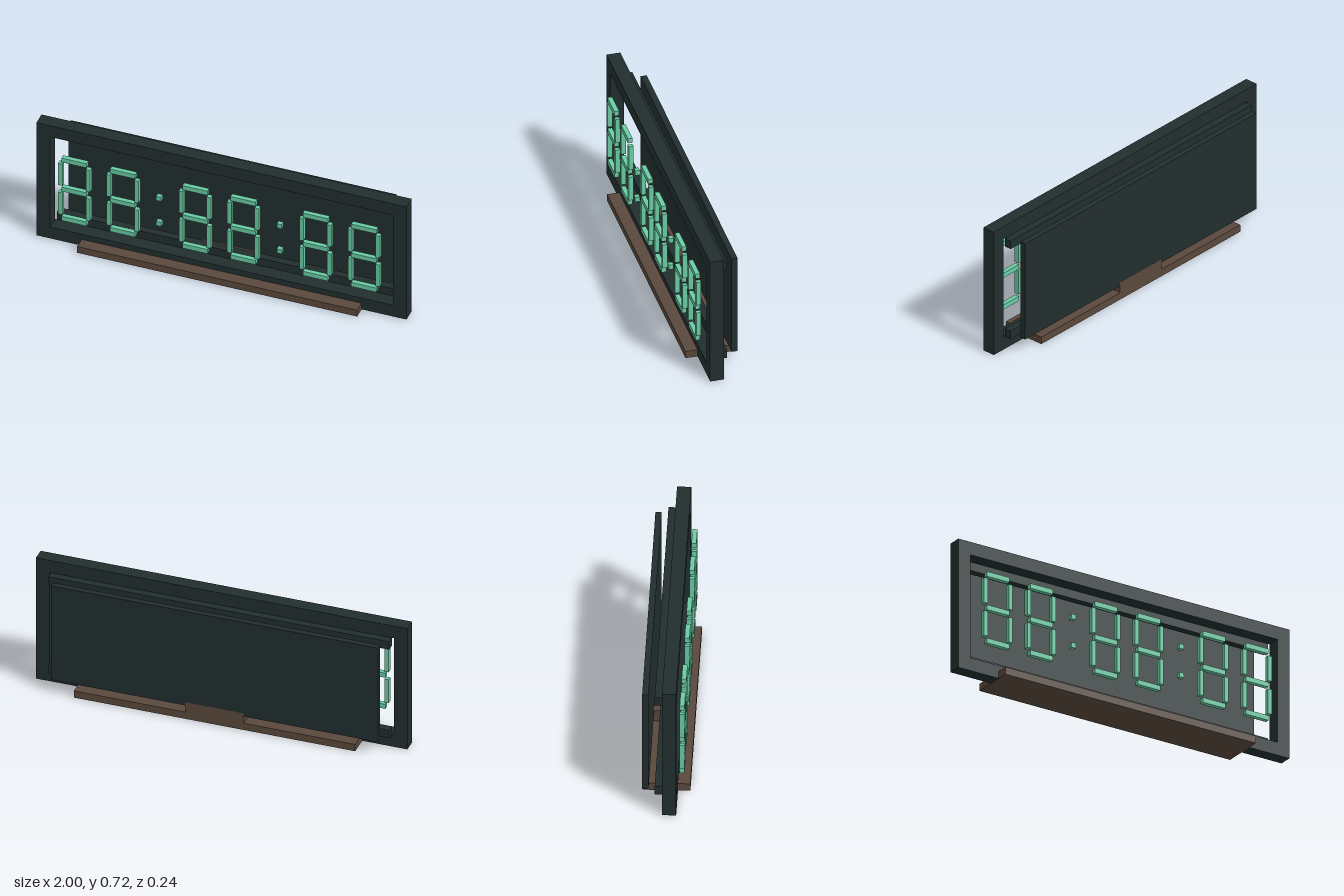
import * as THREE from 'three';

export function createModel() {
  const model = new THREE.Group();
  model.name = 'digitalClock';

  const mat = (name, color) => {
    const m = new THREE.MeshStandardMaterial({ color });
    m.name = name;
    return m;
  };
  const casing = mat('dark casing', 0x222e2e);
  const wood = mat('brown wood', 0x5a483c);
  const glow = mat('green segment', 0x69cca4);

  // Box given by its extents on each axis
  const box = (name, material, [x0, x1], [y0, y1], [z0, z1], parent = model) => {
    const mesh = new THREE.Mesh(new THREE.BoxGeometry(x1 - x0, y1 - y0, z1 - z0), material);
    mesh.position.set((x0 + x1) / 2, (y0 + y1) / 2, (z0 + z1) / 2);
    mesh.name = name;
    parent.add(mesh);
    return mesh;
  };

  // Front frame with its rectangular opening
  const rect = (path, x, y0, y1) =>
    path.moveTo(-x, y0).lineTo(x, y0).lineTo(x, y1).lineTo(-x, y1).closePath();
  const outline = rect(new THREE.Shape(), 1, 0.001, 0.72);
  outline.holes.push(rect(new THREE.Path(), 0.927, 0.073, 0.648));
  const frame = new THREE.Mesh(
    new THREE.ExtrudeGeometry(outline, { depth: 0.072, bevelEnabled: false }), casing);
  frame.position.z = -0.015;
  frame.name = 'frame';
  model.add(frame);

  // Rails behind the frame and the back panel
  box('lowerRail', casing, [-0.917, 0.917], [0.073, 0.12], [-0.055, -0.015]);
  box('upperRail', casing, [-0.917, 0.917], [0.601, 0.648], [-0.055, -0.015]);
  box('backPanel', casing, [-0.88, 0.88], [0.08, 0.64], [-0.12, -0.088]);

  // Wooden foot and the block that carries the back panel
  box('foot', wood, [-0.757, 0.757], [0, 0.04], [-0.12, 0.12]);
  box('supportBlock', wood, [-0.157, 0.157], [0.04, 0.1], [-0.1205, -0.04]);

  // Seven-segment digits
  const depth = [0.069, 0.094];
  for (const cx of [-0.783, -0.521, -0.13, 0.13, 0.521, 0.783]) {
    const digit = new THREE.Group();
    digit.name = 'digit';
    digit.position.x = cx;
    for (const y of [0.175, 0.361, 0.547])
      box('horizontalSegment', glow, [-0.068, 0.068], [y - 0.0135, y + 0.0135], depth, digit);
    for (const x of [-0.075, 0.075])
      for (const y of [0.269, 0.453])
        box('verticalSegment', glow, [x - 0.0115, x + 0.0115], [y - 0.0695, y + 0.0695], depth, digit);
    model.add(digit);
  }

  // Colon dots between the digit pairs
  for (const x of [-0.326, 0.326])
    for (const y of [0.281, 0.441])
      box('colonDot', glow, [x - 0.0135, x + 0.0135], [y - 0.0135, y + 0.0135], depth);

  return model;
}
